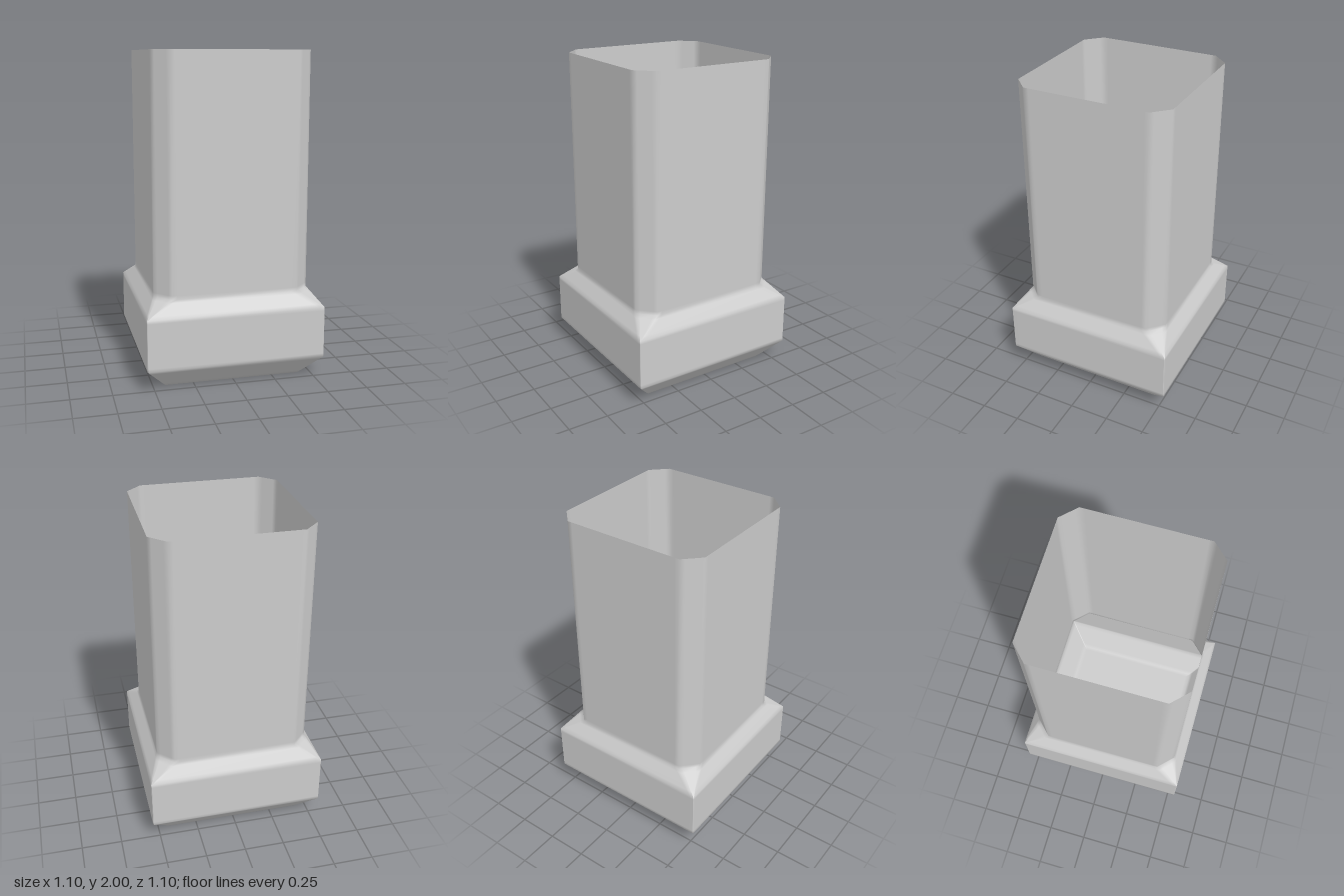
import * as THREE from 'three';

// Cross-sections from bottom to top: [height, half width, corner cut].
// Close pairs of sections keep the soft edges narrow.
const SECTIONS = [
  [0, 0.40, 0.004], [0, 0.425, 0.004], [0.02, 0.443, 0.004],
  [0.12, 0.531, 0.004], [0.14, 0.548, 0.004], [0.16, 0.548, 0.004],
  [0.435, 0.548, 0.004], [0.455, 0.548, 0.004], [0.475, 0.534, 0.023],
  [0.535, 0.491, 0.081], [0.55, 0.48, 0.095], [0.575, 0.48, 0.095],
  [2, 0.48, 0.095],
];

// Square outline with cut corners, running from +x towards +z.
function outline(half, cut) {
  const a = half - cut;
  const support = 0.03;
  const corner = [
    [half, a - support], [half, a],
    [half - cut * 0.2, a + cut * 0.2], [half - cut * 0.8, a + cut * 0.8],
    [a, half], [a - support, half],
  ];
  const points = [];
  for (let k = 0; k < 4; k++) {
    for (const [x, z] of corner) {
      points.push([[x, z], [-z, x], [-x, -z], [z, -x]][k]);
    }
  }
  return points;
}

function shellGeometry() {
  const positions = [];
  const indices = [];
  for (const [y, half, cut] of SECTIONS) {
    for (const [x, z] of outline(half, cut)) positions.push(x, y, z);
  }
  const n = 24;
  // Walls between neighbouring sections
  for (let r = 0; r < SECTIONS.length - 1; r++) {
    for (let i = 0; i < n; i++) {
      const a = r * n + i;
      const b = r * n + ((i + 1) % n);
      indices.push(a, a + n, b, b, a + n, b + n);
    }
  }
  // Closed floor
  const center = positions.length / 3;
  positions.push(0, 0, 0);
  for (let i = 0; i < n; i++) indices.push(center, i, (i + 1) % n);

  const geometry = new THREE.BufferGeometry();
  geometry.setAttribute('position', new THREE.Float32BufferAttribute(positions, 3));
  geometry.setIndex(indices);
  geometry.computeVertexNormals();
  return geometry;
}

export function createModel() {
  const group = new THREE.Group();
  group.name = 'openSquareTube';
  const material = new THREE.MeshStandardMaterial({ color: 0xcccccc, side: THREE.DoubleSide });
  // Thin hollow shell: bevelled collar below, open tube above
  const shell = new THREE.Mesh(shellGeometry(), material);
  shell.name = 'collaredTube';
  group.add(shell);
  return group;
}
